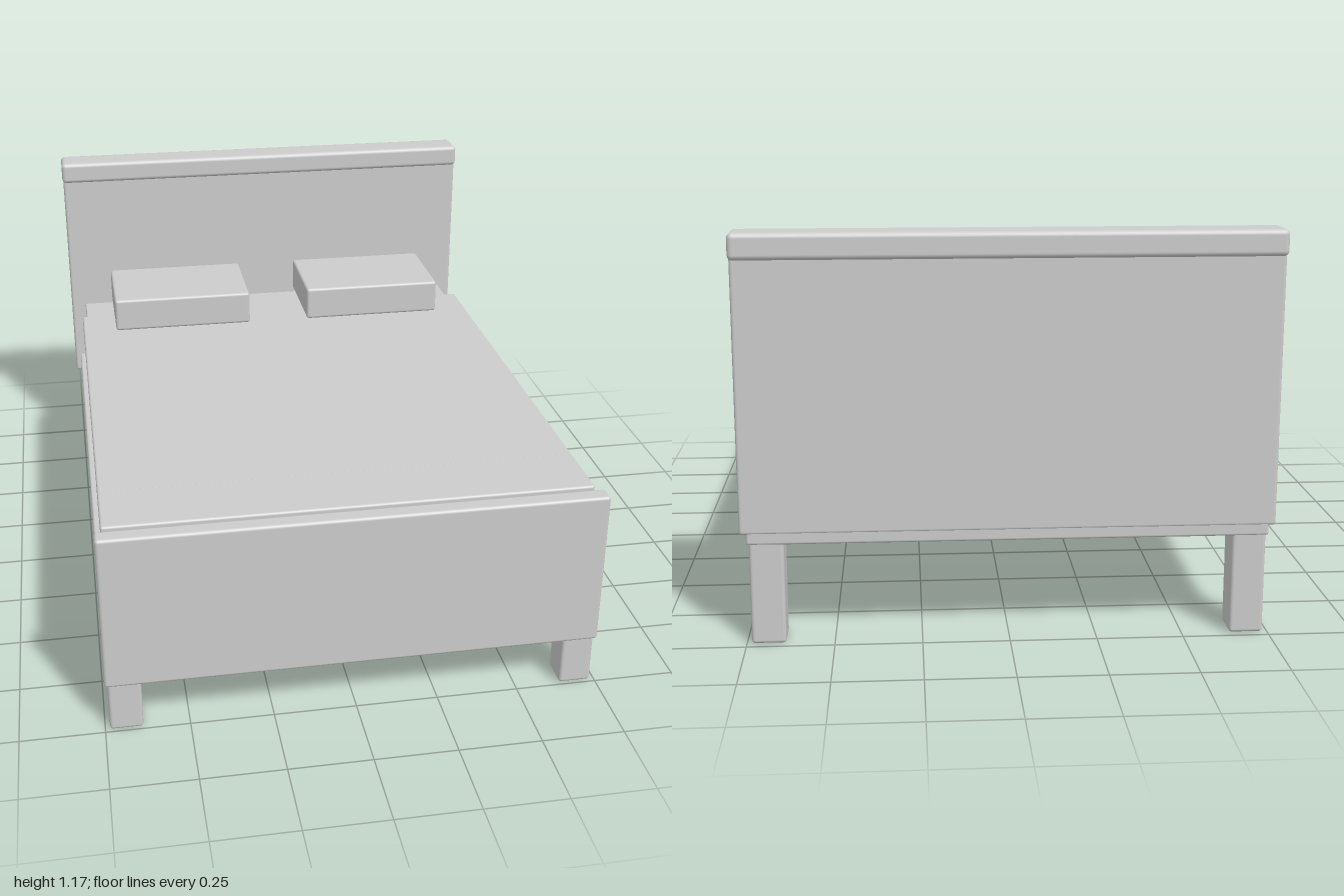
import * as THREE from 'three';
import { RoundedBoxGeometry } from 'three/addons/geometries/RoundedBoxGeometry.js';

export function createModel() {
  const bed = new THREE.Group();
  bed.name = 'bed';
  const grey = new THREE.MeshStandardMaterial({ color: 0xcccccc });
  grey.name = 'light grey';

  // Softly rounded box given by its [min, max] extents on each axis
  function box(name, [x0, x1], [y0, y1], [z0, z1], radius) {
    const mesh = new THREE.Mesh(new RoundedBoxGeometry(x1 - x0, y1 - y0, z1 - z0, 3, radius), grey);
    mesh.position.set((x0 + x1) / 2, (y0 + y1) / 2, (z0 + z1) / 2);
    mesh.name = name;
    bed.add(mesh);
  }

  // Frame and end boards
  box('frame', [-0.743, 0.743], [0.295, 0.395], [-0.983, 0.992], 0.008);
  box('headboard', [-0.762, 0.762], [0.325, 1.13], [-0.985, -0.89], 0.01);
  box('headboardCap', [-0.765, 0.765], [1.1, 1.175], [-1, -0.88], 0.015);
  box('footboard', [-0.745, 0.745], [0.155, 0.648], [0.945, 1], 0.01);

  // Bedding, with the cover creased near the foot
  box('mattress', [-0.71, 0.71], [0.385, 0.607], [-0.9, 0.95], 0.006);
  box('cover', [-0.726, 0.726], [0.605, 0.642], [-0.673, 0.715], 0.008);
  box('coverFoot', [-0.726, 0.726], [0.605, 0.642], [0.703, 0.917], 0.008);

  // Mirrored pillows and legs
  for (const side of [-1, 1]) {
    const span = (a, b) => (side > 0 ? [a, b] : [-b, -a]);
    box('pillow', span(0.108, 0.606), [0.642, 0.76], [-0.842, -0.507], 0.01);
    box('frontLeg', span(0.638, 0.736), [0, 0.31], [0.895, 0.992], 0.01);
    box('backLeg', span(0.638, 0.736), [0, 0.31], [-0.98, -0.882], 0.01);
  }
  return bed;
}
